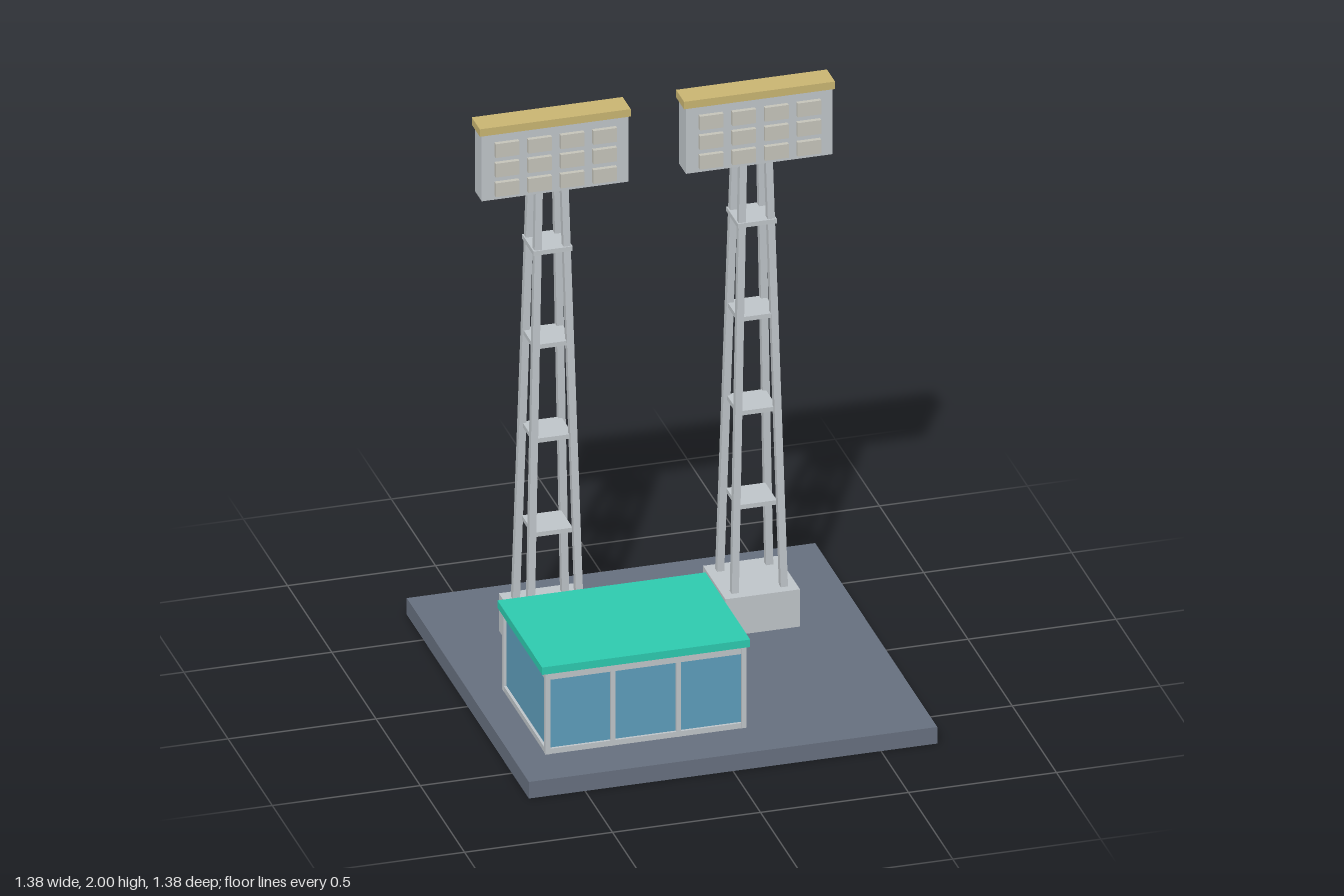
import * as THREE from 'three';

const mat = (name, color) => {
  const m = new THREE.MeshStandardMaterial({ color });
  m.name = name;
  return m;
};

export function createModel() {
  const slate = mat('slate', 0x666f7e);
  const steel = mat('steel', 0xbec4c8);
  const lampGrey = mat('lampGrey', 0xc4c3b9);
  const gold = mat('gold', 0xc8b471);
  const teal = mat('teal', 0x2dc9ae);
  const glass = mat('glass', 0x5d9cba);

  const model = new THREE.Group();
  model.name = 'floodlitStation';

  // Box given by its min and max corners
  const box = (parent, name, material, [x0, y0, z0], [x1, y1, z1]) => {
    const mesh = new THREE.Mesh(new THREE.BoxGeometry(x1 - x0, y1 - y0, z1 - z0), material);
    mesh.position.set((x0 + x1) / 2, (y0 + y1) / 2, (z0 + z1) / 2);
    mesh.name = name;
    parent.add(mesh);
    return mesh;
  };

  box(model, 'base', slate, [-0.69, 0, -0.69], [0.69, 0.06, 0.69]);

  // Square leg sheared from a wide foot to a narrow top
  const leg = (sx, sz) => {
    const y0 = 0.19, y1 = 1.79, foot = 0.083, top = 0.042;
    const g = new THREE.BoxGeometry(0.024, y1 - y0, 0.024);
    const p = g.attributes.position;
    for (let i = 0; i < p.count; i++) {
      const off = p.getY(i) < 0 ? foot : top;
      p.setX(i, p.getX(i) + sx * off);
      p.setZ(i, p.getZ(i) + sz * off);
    }
    g.computeVertexNormals();
    const mesh = new THREE.Mesh(g, steel);
    mesh.position.y = (y0 + y1) / 2;
    mesh.name = 'leg';
    return mesh;
  };

  // Floodlight towers, local origin on the tower axis
  for (const x of [-0.345, 0.345]) {
    const tower = new THREE.Group();
    tower.name = x < 0 ? 'rightTower' : 'leftTower';
    tower.position.set(x, 0, -0.255);
    model.add(tower);
    box(tower, 'footing', steel, [-0.126, 0.06, -0.126], [0.126, 0.195, 0.126]);
    for (const sx of [-1, 1]) for (const sz of [-1, 1]) tower.add(leg(sx, sz));
    for (const y of [0.49, 0.83, 1.17, 1.51])
      box(tower, 'platform', steel, [-0.066, y - 0.008, -0.066], [0.066, y + 0.008, 0.066]);

    // Light bank with hood and lamps
    box(tower, 'lightPanel', steel, [-0.248, 1.737, 0.011], [0.248, 1.975, 0.088]);
    box(tower, 'hood', gold, [-0.255, 1.973, -0.001], [0.255, 2, 0.09]);
    for (let c = 0; c < 4; c++) for (let r = 0; r < 3; r++) {
      const lx = (c - 1.5) * 0.11, ly = 1.778 + r * 0.071;
      box(tower, 'lamp', lampGrey, [lx - 0.04, ly - 0.025, 0.085], [lx + 0.04, ly + 0.025, 0.103]);
    }
  }

  // Glazed building
  const building = new THREE.Group();
  building.name = 'building';
  model.add(building);
  const X0 = -0.582, X1 = 0.097, Z0 = 0.028, Z1 = 0.518, t = 0.016;
  box(building, 'glazing', glass, [X0 + 0.01, 0.06, Z0 + 0.01], [X1 - 0.01, 0.355, Z1 - 0.01]);
  box(building, 'roof', teal, [-0.595, 0.353, 0.018], [0.108, 0.38, 0.522]);
  // Corner posts and front and back mullions
  for (let i = 0; i < 4; i++) {
    const x = X0 + (i * (X1 - X0 - t)) / 3;
    for (const z of [Z0, Z1 - t])
      box(building, 'post', steel, [x, 0.06, z], [x + t, 0.354, z + t]);
  }
  // Sills and head rails on all four sides
  for (const [y0, y1] of [[0.06, 0.079], [0.329, 0.354]]) {
    for (const z of [Z0, Z1 - t])
      box(building, 'rail', steel, [X0 + t, y0, z + 0.001], [X1 - t, y1, z + t - 0.001]);
    for (const x of [X0, X1 - t])
      box(building, 'rail', steel, [x + 0.001, y0, Z0 + t], [x + t - 0.001, y1, Z1 - t]);
  }
  return model;
}
